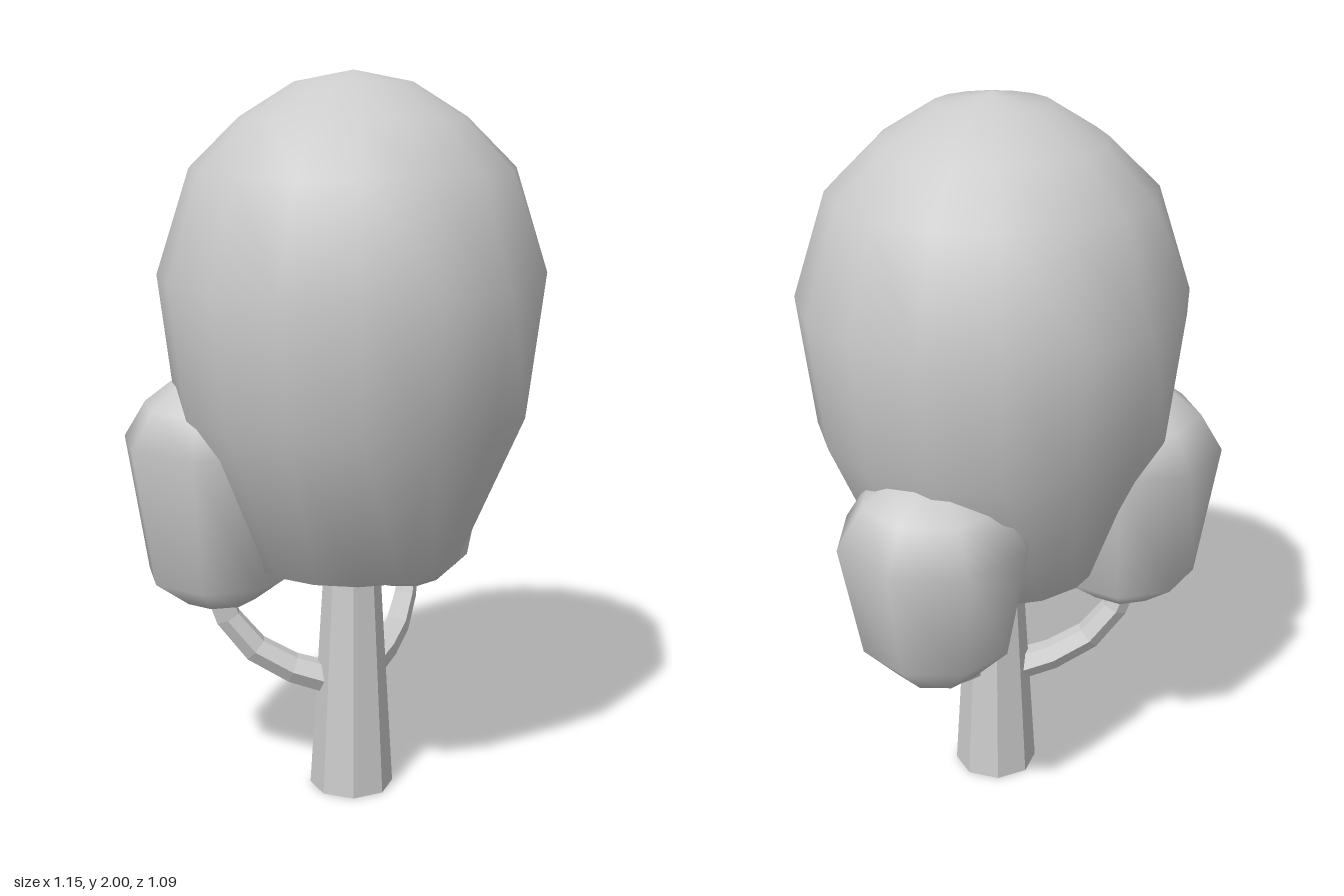
import * as THREE from 'three';

const smooth = new THREE.MeshStandardMaterial({ color: 0xcccccc });
const faceted = new THREE.MeshStandardMaterial({ color: 0xcccccc, flatShading: true, side: THREE.DoubleSide });

// Lathed foliage: profile of [radius, height] from bottom to top
function foliage(name, x, z, profile, sides, turn) {
  const points = profile.map(([r, y]) => new THREE.Vector2(r, y));
  const mesh = new THREE.Mesh(new THREE.LatheGeometry(points, sides, turn, Math.PI * 2), smooth);
  mesh.name = name;
  mesh.position.set(x, 0, z);
  return mesh;
}

// Bent branch that thins toward its tip
function branch(name, path, r0, r1) {
  const curve = new THREE.CatmullRomCurve3(path.map((p) => new THREE.Vector3(...p)));
  const segments = 4, sides = 6;
  const geo = new THREE.TubeGeometry(curve, segments, 1, sides);
  const pos = geo.attributes.position;
  const v = new THREE.Vector3();
  for (let i = 0; i < pos.count; i++) {
    const t = Math.floor(i / (sides + 1)) / segments;
    const centre = curve.getPointAt(t);
    v.fromBufferAttribute(pos, i).sub(centre).multiplyScalar(r0 + (r1 - r0) * t).add(centre);
    pos.setXYZ(i, v.x, v.y, v.z);
  }
  const mesh = new THREE.Mesh(geo, faceted);
  mesh.name = name;
  return mesh;
}

export function createModel() {
  const tree = new THREE.Group();
  tree.name = 'tree';

  // Tapered octagonal trunk, open at the base
  const trunk = new THREE.Mesh(new THREE.CylinderGeometry(0.067, 0.118, 0.85, 8, 1, true), faceted);
  trunk.name = 'trunk';
  trunk.position.set(0.05, 0.425, 0.02);
  tree.add(trunk);

  // Side branches
  tree.add(branch('rightBranch',
    [[0.0, 0.315, 0.02], [-0.17, 0.375, 0.02], [-0.28, 0.475, 0.02], [-0.34, 0.62, 0.02]], 0.046, 0.036));
  tree.add(branch('leftBranch',
    [[0.1, 0.34, 0.0], [0.15, 0.365, -0.08], [0.21, 0.43, -0.2], [0.24, 0.56, -0.29]], 0.04, 0.03));

  // Main crown
  tree.add(foliage('mainCrown', 0.05, 0.02,
    [[0, 0.645], [0.15, 0.655], [0.3, 0.69], [0.48, 1.11], [0.523, 1.47],
      [0.432, 1.75], [0.3, 1.88], [0.155, 1.97], [0, 2]], 16, 0));

  // Small side crowns
  tree.add(foliage('rightCrown', -0.32, 0.025,
    [[0, 0.555], [0.1, 0.565], [0.2, 0.64], [0.261, 1.02], [0.2, 1.12], [0.11, 1.19], [0, 1.21]],
    8, Math.atan2(-0.255, -0.055)));
  tree.add(foliage('leftCrown', 0.22, -0.296,
    [[0, 0.5], [0.11, 0.515], [0.205, 0.61], [0.264, 0.92], [0.195, 1.03], [0.1, 1.09], [0, 1.1]],
    8, Math.atan2(0.255, -0.079)));

  return tree;
}
